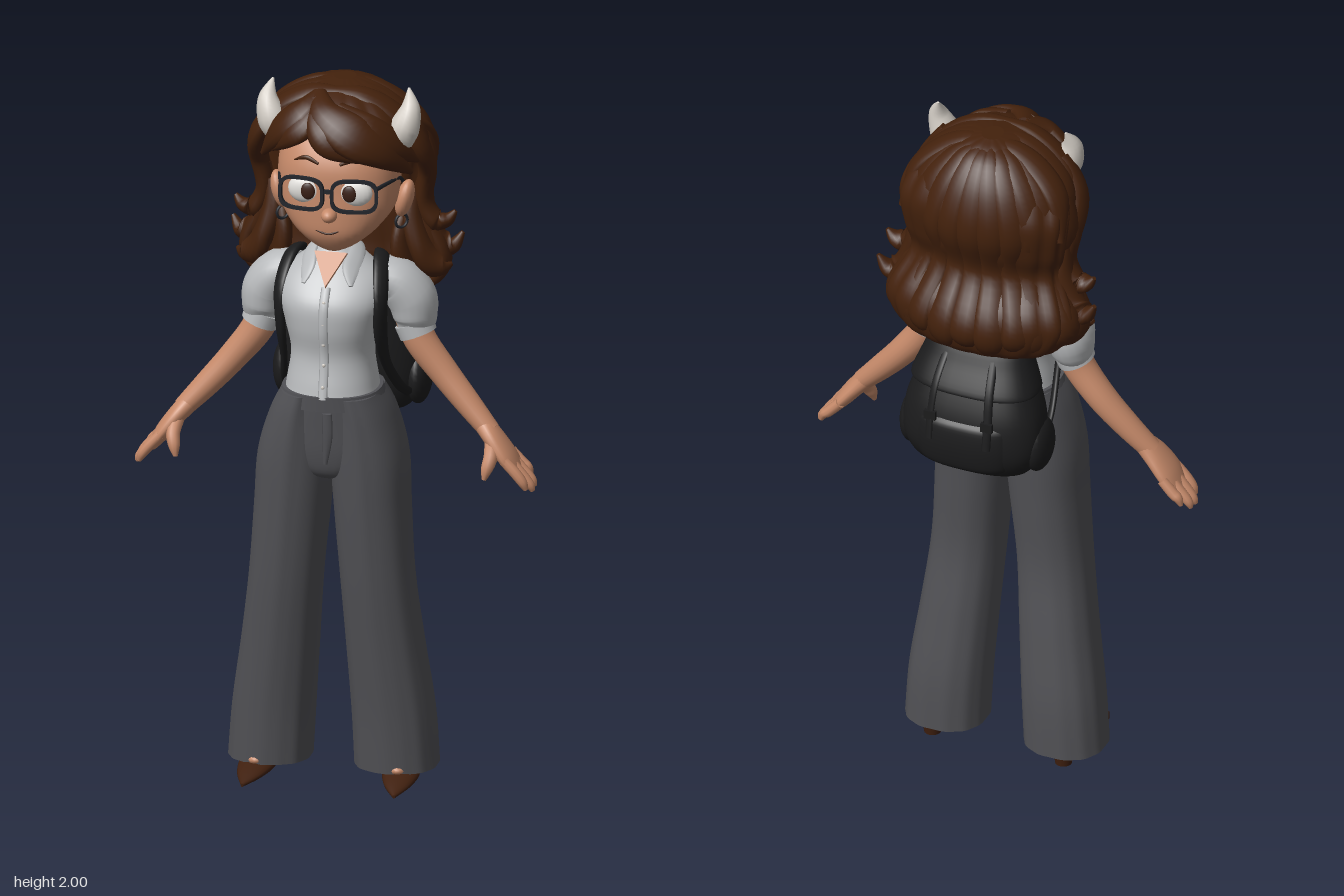
import * as THREE from 'three';

const mat = (name, color) => Object.assign(new THREE.MeshStandardMaterial({ color }), { name });
const M = {
  hair: mat('brown hair', 0x43210c), skin: mat('skin', 0xc68a6a), shirt: mat('pale grey shirt', 0xb8babc),
  cloth: mat('grey trousers', 0x515155), pack: mat('black canvas', 0x1b1b1c), horn: mat('bone', 0xd2ccc4),
  frame: mat('dark frame', 0x22252b), shoe: mat('brown leather', 0x40200f), white: mat('eye white', 0xe0deda),
  iris: mat('dark iris', 0x3a2016),
};

// Smooth interpolation through rows of numbers, t from 0 to 1
function smooth(rows, t) {
  const f = t * (rows.length - 1), i = Math.min(Math.floor(f), rows.length - 2), u = f - i;
  const at = k => rows[Math.max(0, Math.min(rows.length - 1, k))];
  return rows[0].map((_, c) => {
    const [a, b, d, e] = [at(i - 1)[c], at(i)[c], at(i + 1)[c], at(i + 2)[c]];
    return b + 0.5 * u * (d - a + u * (2 * a - 5 * b + 4 * d - e + u * (3 * (b - d) + e - a)));
  });
}

// Closed surface through rings of points, with sharp-edged end caps, always facing outwards
function skinRings(rings) {
  const n = rings[0].length, pts = rings.flat(), idx = [];
  for (let r = 0; r < rings.length - 1; r++) for (let i = 0; i < n; i++) {
    const a = r * n + i, b = r * n + (i + 1) % n;
    idx.push(a, b, b + n, a, b + n, a + n);
  }
  [rings[0], rings[rings.length - 1]].forEach((ring, end) => {
    const base = pts.length, mid = new THREE.Vector3();
    ring.forEach(p => mid.addScaledVector(p, 1 / n));
    pts.push(...ring, mid);
    for (let i = 0; i < n; i++) {
      const a = base + i, b = base + (i + 1) % n;
      if (end) idx.push(a, b, base + n); else idx.push(b, a, base + n);
    }
  });
  let volume = 0;
  const cross = new THREE.Vector3();
  for (let i = 0; i < idx.length; i += 3) volume += pts[idx[i]].dot(cross.crossVectors(pts[idx[i + 1]], pts[idx[i + 2]]));
  if (volume < 0) idx.reverse();
  const g = new THREE.BufferGeometry().setFromPoints(pts);
  g.setIndex(idx);
  g.computeVertexNormals();
  return g;
}

// Upright body from rows of [y, centre x, half width, back z, front z]
function loft(rows, { n = 2, segs = 40, per = 5, rule = () => 1 } = {}) {
  const steps = (rows.length - 1) * per, rings = [];
  const pow = v => Math.sign(v) * Math.abs(v) ** (2 / n);
  for (let k = 0; k <= steps; k++) {
    const [y, cx, rx, zb, zf] = smooth(rows, k / steps), ring = [];
    for (let i = 0; i < segs; i++) {
      const a = i / segs * Math.PI * 2, m = rule(a, y);
      ring.push(new THREE.Vector3(cx + rx * m * pow(Math.cos(a)), y, (zb + zf) / 2 + (zf - zb) / 2 * m * pow(Math.sin(a))));
    }
    rings.push(ring);
  }
  return skinRings(rings);
}

// Bent tapering shape from rows of [x, y, z, half width, half thickness]; thickness points away from centre
function sweep(rows, centre, segs = 14, per = 6) {
  const steps = (rows.length - 1) * per, rings = [], c = new THREE.Vector3(...centre);
  const pos = t => new THREE.Vector3(...smooth(rows, t).slice(0, 3));
  for (let k = 0; k <= steps; k++) {
    const t = k / steps, p = pos(t), [, , , w, d] = smooth(rows, t), ring = [];
    const tan = pos(Math.min(1, t + 0.01)).sub(pos(Math.max(0, t - 0.01))).normalize();
    const side = new THREE.Vector3().crossVectors(tan, p.clone().sub(c)).normalize();
    const out = new THREE.Vector3().crossVectors(side, tan);
    for (let i = 0; i < segs; i++) {
      const a = i / segs * Math.PI * 2;
      ring.push(p.clone().addScaledVector(side, Math.max(w, 0.001) * Math.cos(a)).addScaledVector(out, Math.max(d, 0.001) * Math.sin(a)));
    }
    rings.push(ring);
  }
  return skinRings(rings);
}

export function createModel() {
  const model = new THREE.Group();
  const add = (name, material, geometry) => {
    const m = new THREE.Mesh(geometry, material);
    m.name = name;
    model.add(m);
    return m;
  };
  const ball = (name, material, p, s) => {
    const m = add(name, material, new THREE.SphereGeometry(1, 20, 14));
    m.position.set(...p);
    m.scale.set(...s);
    return m;
  };
  const flip = (rows, s, dx = 0) => rows.map(([x, ...r]) => [s * x + dx, ...r]);
  const sides = [['left', 1], ['right', -1]];

  // Head, neck and face
  add('head', M.skin, loft([[1.548, .01, .025, .12, .18], [1.565, .01, .063, .07, .2], [1.605, .01, .113, .02, .222], [1.66, .01, .155, -.04, .226],
    [1.72, .01, .167, -.05, .224], [1.80, .01, .165, -.06, .218], [1.88, .01, .145, -.05, .175], [1.93, .01, .07, 0, .11]], { n: 2.3 }));
  add('neck', M.skin, loft([[1.45, 0, .055, .03, .14], [1.52, .002, .044, .035, .128], [1.61, .01, .046, .03, .13]]));
  ball('nose', M.skin, [.014, 1.668, .232], [.022, .02, .028]);
  add('mouth', M.iris, sweep([[-.035, 1.622, .217, .002, .002], [.012, 1.612, .226, .003, .003], [.058, 1.63, .214, .002, .002]], [0, 1.62, -3], 8));

  // Spectacle rim outline
  const oval = (rx, ry) => Array.from({ length: 36 }, (_, i) => {
    const a = i / 18 * Math.PI, p = v => Math.sign(v) * Math.abs(v) ** 0.6;
    return new THREE.Vector2(rx * p(Math.cos(a)), ry * p(Math.sin(a)));
  });
  const rim = new THREE.Shape(oval(.066, .049));
  rim.holes.push(new THREE.Path(oval(.057, .04)));

  for (const [side, s] of sides) {
    const X = x => .011 + s * x;
    // Eyes, brows, ears and earrings
    ball(side + 'Eye', M.white, [X(.068), 1.732, .205], [.05, .041, .024]);
    ball(side + 'Iris', M.iris, [X(.058), 1.732, .226], [.02, .024, .008]);
    add(side + 'Brow', M.hair, sweep(flip([[.03, 1.812, .222, .004, .004], [.065, 1.825, .214, .007, .005], [.1, 1.812, .202, .002, .003]], s, .011), [0, 1.8, -3], 8));
    ball(side + 'Ear', M.skin, [X(.174), 1.672, .055], [.024, .055, .036]).rotation.z = -s * .25;
    const ring = add(side + 'Earring', M.frame, new THREE.TorusGeometry(.019, .004, 8, 20));
    ring.position.set(X(.166), 1.607, .06);
    ring.rotation.y = .8;
    // Spectacles
    const r = add(side + 'Rim', M.frame, new THREE.ExtrudeGeometry(rim, { depth: .01, bevelEnabled: false }));
    r.position.set(X(.073), 1.729, .232);
    r.rotation.y = s * .14;
    add(side + 'Temple', M.frame, sweep(flip([[.133, 1.752, .23, .007, .005], [.153, 1.75, .16, .006, .004], [.166, 1.738, .08, .006, .004], [.168, 1.7, .03, .005, .004]], s, .011), [0, 1.74, .05], 8));
    // Horns
    add(side + 'Horn', M.horn, sweep(flip([[.165, 1.85, .09, .038, .04], [.184, 1.89, .1, .042, .042], [.199, 1.945, .092, .026, .028], [.19, 1.996, .068, .003, .003]], s, .01), [0, 1.9, .09]));
  }
  add('bridge', M.frame, new THREE.BoxGeometry(.03, .01, .01)).position.set(.011, 1.74, .243);

  // Hair mass with scalloped strands
  add('hairMass', M.hair, loft([[1.365, 0, .12, -.15, -.06], [1.40, 0, .22, -.2, -.01], [1.47, 0, .272, -.218, .03], [1.53, 0, .265, -.205, .03],
    [1.62, 0, .222, -.148, .03], [1.70, 0, .235, -.17, .03], [1.79, .003, .247, -.186, .05], [1.85, .005, .235, -.178, .12], [1.90, .005, .2, -.155, .195],
    [1.95, .005, .145, -.12, .165], [1.98, .005, .085, -.08, .10], [1.992, .005, .03, -.04, .03]],
  { segs: 96, rule: (a, y) => .965 + .045 * Math.abs(Math.cos(8 * a + 3 * (y - 1.7))) }));

  // Back locks fanned around the head
  for (let i = 0; i < 11; i++) {
    const a = (i - 5) * .27, j = (i % 2) * .012;
    const rows = [[1.982, .04, .05, .01, .006], [1.95, .115, .11, .032, .015], [1.87, .2, .158, .045, .02], [1.76, .238, .176, .042, .022], [1.63, .212, .136, .04, .022],
      [1.5, .27 + j, .2, .05, .028], [1.43 + j, .26 + j, .2, .042, .024], [1.375 + j * 2, .2, .15, .008, .008]];
    add('backLock', M.hair, sweep(rows.map(([y, rx, rz, w, d]) => [Math.sin(a) * rx, y, -Math.cos(a) * rz, w, d]), [0, 1.7, .03]));
  }
  // Side locks that flick outwards
  const sideLocks = [
    [[.17, 1.92, .07, .03, .02], [.225, 1.83, .05, .042, .025], [.235, 1.74, -.005, .04, .025], [.222, 1.65, -.015, .035, .025], [.25, 1.59, -.02, .034, .026], [.285, 1.59, -.025, .026, .02], [.308, 1.615, -.03, .006, .006]],
    [[.225, 1.72, -.03, .03, .02], [.22, 1.62, -.03, .042, .03], [.25, 1.53, -.035, .042, .032], [.292, 1.505, -.05, .032, .024], [.322, 1.545, -.06, .006, .006]],
    [[.2, 1.68, -.01, .025, .02], [.195, 1.6, 0, .04, .03], [.225, 1.51, .01, .045, .03], [.265, 1.46, 0, .034, .026], [.3, 1.465, -.02, .006, .006]],
    [[.18, 1.64, -.01, .02, .02], [.165, 1.55, .01, .04, .025], [.175, 1.47, .01, .04, .025], [.2, 1.42, -.01, .006, .006]],
  ];
  for (const [side, s] of sides) {
    for (const rows of sideLocks) add(side + 'SideLock', M.hair, sweep(flip(rows, s), [0, 1.62, -.04]));
    // Crown locks combed down from the parting
    for (const z of [.085, .03, -.025]) add(side + 'CrownLock', M.hair, sweep(flip([[-.01, 1.975, z, .02, .012], [.075, 1.968, z - .005, .035, .016],
      [.155, 1.925, z - .015, .04, .018], [.213, 1.855, z - .035, .038, .018], [.235, 1.75, z - .07, .012, .01]], s), [0, 1.75, .02]));
  }
  // Swept fringe, parted off centre: a full bang on the left, a shorter one set back on the right
  for (const rows of [
    [[-.045, 1.968, .1, .025, .02], [-.01, 1.94, .18, .045, .024], [.07, 1.895, .21, .062, .026], [.15, 1.84, .175, .045, .024], [.213, 1.765, .1, .008, .008]],
    [[-.045, 1.96, .13, .02, .02], [-.025, 1.91, .2, .035, .024], [.02, 1.868, .224, .04, .024], [.11, 1.822, .205, .008, .008]],
    [[.02, 1.95, .15, .02, .018], [.10, 1.91, .175, .045, .024], [.17, 1.855, .14, .042, .022], [.225, 1.79, .07, .008, .008]],
    [[-.04, 1.968, .1, .025, .02], [-.085, 1.93, .16, .046, .024], [-.15, 1.868, .148, .042, .022], [-.205, 1.78, .08, .008, .008]],
    [[-.045, 1.955, .13, .02, .02], [-.065, 1.91, .185, .04, .022], [-.11, 1.87, .185, .032, .02], [-.165, 1.815, .14, .006, .006]],
  ]) add('fringeLock', M.hair, sweep(rows, [0, 1.78, .03]));

  // Shirt body, open neck, placket and buttons
  add('shirt', M.shirt, loft([[1.135, 0, .13, -.002, .252], [1.17, 0, .124, .002, .245], [1.25, 0, .114, .012, .23], [1.33, 0, .13, 0, .243],
    [1.40, 0, .15, -.005, .24], [1.46, 0, .145, 0, .2], [1.505, 0, .095, .02, .16], [1.535, 0, .052, .03, .135]], { n: 2.2 }));
  const vee = add('neckOpening', M.skin, new THREE.ExtrudeGeometry(new THREE.Shape([[-.046, .05], [0, -.056], [.046, .05]].map(p => new THREE.Vector2(...p))), { depth: .009, bevelEnabled: false }));
  vee.position.set(0, 1.492, .179);
  vee.rotation.x = -.75;
  add('placket', M.shirt, sweep([[0, 1.45, .208, .013, .006], [0, 1.4, .24, .013, .006], [0, 1.33, .244, .013, .006], [0, 1.25, .231, .013, .006], [0, 1.14, .252, .013, .006]], [0, 1.3, -5], 8));
  [[1.415, .238], [1.355, .248], [1.295, .242], [1.235, .238], [1.175, .251]].forEach(([y, z]) => ball('button', M.horn, [0, y, z], [.005, .005, .003]));

  for (const [side, s] of sides) {
    add(side + 'Collar', M.shirt, sweep(flip([[0, 1.537, .025, .022, .007], [.05, 1.537, .055, .024, .007], [.064, 1.522, .115, .026, .007], [.06, 1.492, .165, .027, .007], [.066, 1.455, .198, .006, .004]], s), [0, 1.44, .08], 10));
    // Puffed sleeve and cuff
    add(side + 'Sleeve', M.shirt, sweep(flip([[.10, 1.455, .08, .05, .045], [.16, 1.437, .055, .073, .06], [.2, 1.385, .04, .081, .068], [.212, 1.33, .042, .073, .06], [.213, 1.30, .046, .055, .05]], s), [0, 1.2, .05], 20));
    add(side + 'Cuff', M.shirt, sweep(flip([[.208, 1.315, .047, .058, .054], [.222, 1.28, .05, .055, .052]], s), [0, 1.2, .05], 20));
    // Arm and hand
    add(side + 'Arm', M.skin, sweep(flip([[.2, 1.34, .045, .048, .048], [.227, 1.265, .05, .046, .045], [.295, 1.175, .053, .043, .04], [.365, 1.095, .065, .038, .035], [.43, 1.025, .08, .033, .028]], s), [0, .9, .05], 20));
    add(side + 'Palm', M.skin, sweep(flip([[.41, 1.045, .075, .033, .028], [.445, 1.005, .085, .05, .026], [.48, .96, .088, .058, .023], [.508, .92, .085, .05, .015]], s), [0, .7, .085], 20));
    [[.04, .536, .893], [.07, .552, .872], [.1, .553, .868], [.13, .541, .88]].forEach(([z, x, y]) =>
      add(side + 'Finger', M.skin, sweep(flip([[.48, .96, z, .015, .015], [.512, .926, z, .0165, .015], [x - .009, y + .02, z, .0145, .013], [x, y, z, .006, .006]], s), [0, .7, z], 10)));
    add(side + 'Thumb', M.skin, sweep(flip([[.44, 1.0, .105, .022, .02], [.444, .97, .138, .021, .019], [.437, .94, .156, .017, .016], [.431, .912, .164, .006, .006]], s), [0, .8, 0], 10));

    // Flared trouser leg with a pressed front crease
    const leg = [[.04, .061, .292, -.06, .165], [.2, .053, .28, -.055, .176], [.4, .04, .252, -.03, .196], [.6, .026, .228, -.005, .218],
      [.8, .008, .215, -.012, .234], [.95, -.003, .206, -.02, .243], [1.07, 0, .172, -.02, .246], [1.14, 0, .137, -.002, .246]];
    add(side + 'TrouserLeg', M.cloth, loft(leg.map(([y, a, b, zb, zf]) => [y, s * (a + b) / 2 - .014 * Math.max(0, 1 - y), (b - a) / 2, zb, zf]),
      { n: 2.3, segs: 64, rule: (a, y) => 1 + .045 * Math.exp(-(((a - Math.PI / 2) / .13) ** 2)) - .02 * Math.max(0, 1 - y) * Math.cos(6 * a) ** 2 }));
    // Pleat folded outwards from the waist
    add(side + 'Pleat', M.cloth, sweep(flip([[.075, 1.1, .24, .012, .006], [.095, 1.03, .238, .012, .008], [.115, .93, .236, .004, .004]], s), [0, 1, -2], 8));
    // Pointed heeled shoe
    const dx = -.012;
    add(side + 'Shoe', M.shoe, sweep(flip([[.195, .05, -.032, .034, .016], [.196, .045, .03, .043, .024], [.2, .03, .11, .052, .026], [.206, .019, .19, .036, .016], [.212, .009, .256, .004, .005]], s, dx), [s * .2 + dx, -2, .1], 18));
    add(side + 'Heel', M.shoe, new THREE.CylinderGeometry(.03, .023, .045, 16)).position.set(s * .195 + dx, .0225, -.008);
    ball(side + 'Foot', M.skin, [s * .198 + dx, .05, .1], [.036, .024, .072]);

    // Rucksack shoulder strap, side pocket and closing strap
    add(side + 'ShoulderStrap', M.pack, sweep(flip([[.1, 1.38, -.05, .024, .012], [.115, 1.485, .015, .025, .013], [.128, 1.495, .09, .026, .014], [.14, 1.42, .16, .026, .014], [.14, 1.31, .152, .024, .013], [.143, 1.21, .1, .016, .009], [.16, 1.12, .02, .014, .008], [.17, 1.07, -.06, .014, .008]], s), [0, 1.33, .08]));
    ball(side + 'SidePocket', M.pack, [s * .185, 1.1, -.12], [.036, .08, .07]);
    add(side + 'ClosingStrap', M.pack, sweep(flip([[.07, 1.37, -.165, .012, .006], [.08, 1.29, -.222, .012, .006], [.085, 1.2, -.247, .012, .006], [.085, 1.13, -.258, .012, .006]], s), [0, 1.2, 0], 8));
    add(side + 'Buckle', M.pack, new THREE.BoxGeometry(.034, .026, .012)).position.set(s * .084, 1.2, -.25);
  }
  // Hips, waistband and fly
  add('hips', M.cloth, loft([[.885, 0, .03, .04, .17], [.91, 0, .1, .01, .218], [.97, 0, .17, -.012, .236], [1.06, 0, .17, -.02, .244], [1.14, 0, .137, -.004, .25]], { n: 2.3 }));
  add('waistband', M.cloth, loft([[1.105, 0, .152, -.014, .254], [1.147, 0, .137, -.008, .256]], { n: 2.3 }));
  add('fly', M.cloth, sweep([[.012, 1.1, .25, .014, .006], [.012, 1.03, .245, .014, .006], [.004, .95, .236, .006, .005]], [0, 1, -5], 8));

  // Rucksack body, lid, pocket and grab handle
  add('rucksack', M.pack, loft([[1.003, 0, .11, -.16, -.07], [1.02, 0, .165, -.215, -.04], [1.09, 0, .2, -.25, -.02], [1.19, 0, .198, -.242, -.012],
    [1.29, 0, .165, -.205, -.01], [1.37, 0, .14, -.165, -.015], [1.405, 0, .1, -.12, -.03]], { n: 2.5 }));
  add('rucksackLid', M.pack, loft([[1.265, 0, .178, -.222, -.03], [1.275, 0, .184, -.228, -.02], [1.34, 0, .16, -.194, -.02], [1.4, 0, .135, -.16, -.025], [1.415, 0, .09, -.12, -.05]], { n: 2.5 }));
  add('rucksackPocket', M.pack, loft([[1.03, 0, .1, -.225, -.14], [1.05, 0, .135, -.25, -.12], [1.11, 0, .145, -.261, -.12], [1.17, 0, .14, -.256, -.12], [1.19, 0, .125, -.243, -.12]], { n: 2.6 }));
  add('grabHandle', M.pack, new THREE.TorusGeometry(.035, .008, 8, 20, Math.PI)).position.set(0, 1.4, -.05);
  return model;
}
